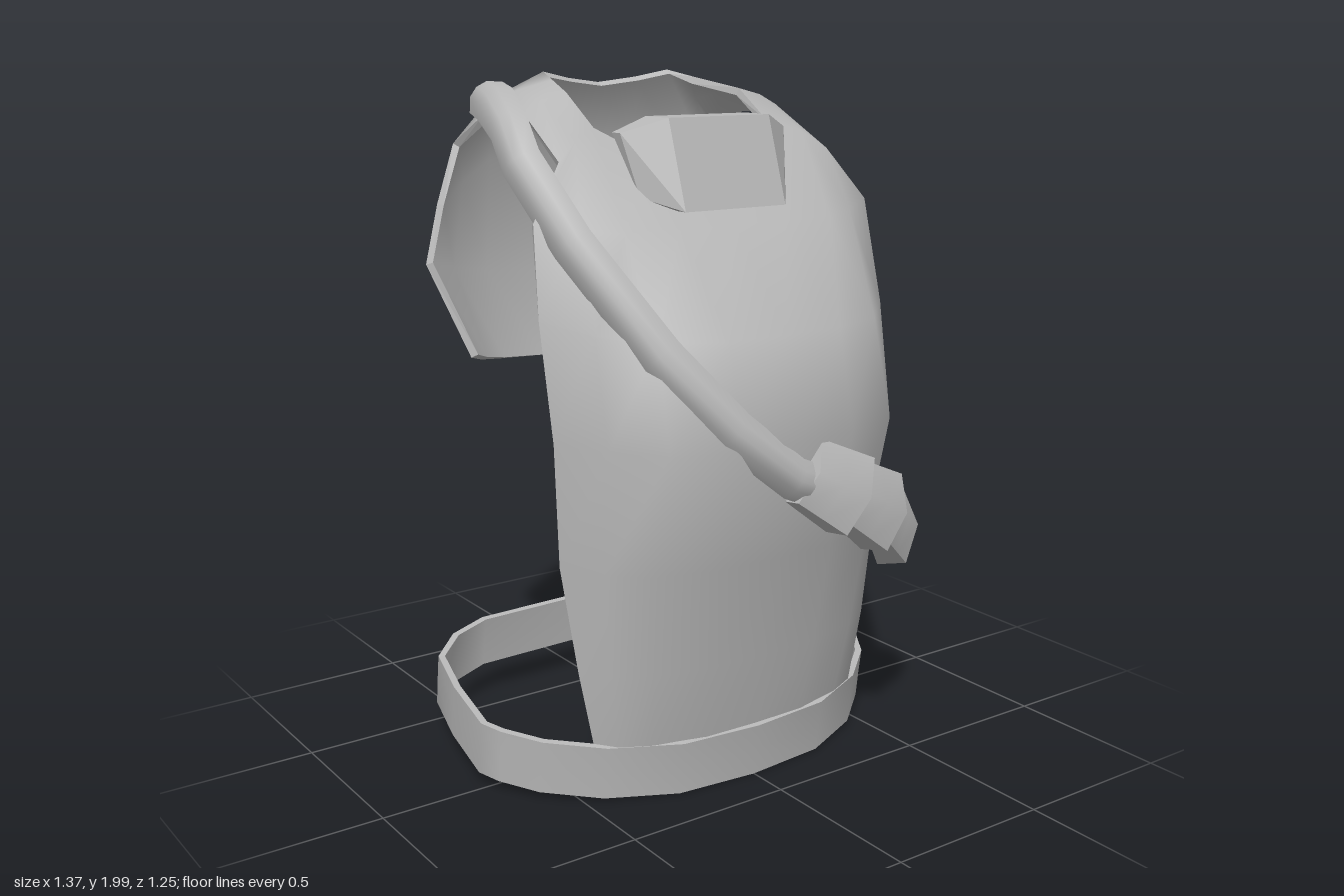
import * as THREE from 'three';
import { mergeGeometries } from 'three/addons/utils/BufferGeometryUtils.js';
import { ConvexGeometry } from 'three/addons/geometries/ConvexGeometry.js';

const V = (x, y, z) => new THREE.Vector3(x, y, z);

// Turns a grid of points (rows of columns) into a shell of even thickness
function shell(rows, thickness, { closed = false, skip = () => false } = {}) {
  const n = rows[0].length, index = [];
  for (let i = 0; i < rows.length - (closed ? 0 : 1); i++) {
    const k = (i + 1) % rows.length;
    for (let j = 0; j < n - 1; j++) {
      if (skip(i, j)) continue;
      const a = i * n + j, b = a + 1, d = k * n + j, c = d + 1;
      index.push(a, b, c, a, c, d);
    }
  }
  const outer = new THREE.BufferGeometry().setFromPoints(rows.flat());
  outer.setIndex(index);
  outer.computeVertexNormals();
  const out = rows.flat();
  const normals = outer.attributes.normal;
  const inn = out.map((p, i) => p.clone().addScaledVector(V(0, 0, 0).fromBufferAttribute(normals, i), -thickness));
  const inner = new THREE.BufferGeometry().setFromPoints(inn);
  inner.setIndex([...index].reverse());
  inner.computeVertexNormals();

  // Rim: every edge that belongs to one face only
  const edges = new Set(), rimPoints = [];
  for (let i = 0; i < index.length; i += 3)
    for (let e = 0; e < 3; e++) edges.add(index[i + e] + '_' + index[i + (e + 1) % 3]);
  for (const key of edges) {
    const [a, b] = key.split('_').map(Number);
    if (edges.has(b + '_' + a)) continue;
    rimPoints.push(out[b], out[a], inn[a], out[b], inn[a], inn[b]);
  }
  const parts = [outer.toNonIndexed(), inner.toNonIndexed()];
  if (rimPoints.length) {
    const rim = new THREE.BufferGeometry().setFromPoints(rimPoints);
    rim.computeVertexNormals();
    parts.push(rim);
  }
  return mergeGeometries(parts);
}

// Right half of a row, centre first, mirrored to a full row
const mirrorRow = (half) => [
  ...half.slice(1).reverse().map(([x, y, z]) => V(-x, y, z)),
  ...half.map(([x, y, z]) => V(x, y, z)),
];

// Direction pointing away from the torso
const outward = (p) => V(p.x, Math.max(0, p.y - 1.4), p.z + 0.1).normalize();

// Padded strap that follows a path round the torso; points are [x, y, z, width]
function strap(path, bulge) {
  const pts = path.map(([x, y, z]) => V(x, y, z));
  const rows = pts.map((p, i) => {
    const t = pts[Math.min(i + 1, pts.length - 1)].clone().sub(pts[Math.max(i - 1, 0)]).normalize();
    const s = t.clone().cross(outward(p)).normalize();
    const n = s.clone().cross(t);
    return [[-0.5, 0], [-0.25, 0.8], [0, 1], [0.25, 0.8], [0.5, 0]].map(([u, h]) =>
      p.clone().addScaledVector(s, u * path[i][3]).addScaledVector(n, h * bulge));
  });
  return shell(rows, 0.015);
}

export function createModel() {
  const model = new THREE.Group();
  const grey = new THREE.MeshStandardMaterial({ color: 0xb8b8b8, side: THREE.DoubleSide });
  grey.name = 'plain grey';
  const add = (name, geometry) => {
    const mesh = new THREE.Mesh(geometry, grey);
    mesh.name = name;
    model.add(mesh);
    return mesh;
  };

  // Vest: up the chest, over the shoulders, down the back; the neck is left open
  const chest = [
    [[0, .17, .38], [.17, .17, .375], [.33, .17, .34], [.42, .17, .30], [.47, .18, .25]],
    [[0, .4, .425], [.18, .4, .42], [.35, .4, .38], [.45, .4, .32], [.51, .4, .24]],
    [[0, .7, .48], [.19, .7, .47], [.37, .7, .42], [.48, .7, .33], [.54, .7, .20]],
    [[0, 1.05, .565], [.19, 1.05, .555], [.38, 1.05, .495], [.48, 1.05, .36], [.56, 1.05, .215]],
    [[0, 1.33, .50], [.19, 1.33, .49], [.37, 1.33, .43], [.49, 1.35, .32], [.58, 1.38, .185]],
    [[0, 1.6, .26], [.18, 1.6, .26], [.35, 1.6, .25], [.46, 1.61, .21], [.57, 1.63, .15]],
    [[0, 1.78, .1], [.17, 1.78, .1], [.30, 1.86, .02], [.39, 1.83, .07], [.46, 1.78, .1]],
  ];
  const shoulders = [
    [[.3, 1.95, -.12], [.38, 1.93, -.12], [.44, 1.9, -.12]],
    [[.25, 1.98, -.28], [.36, 1.95, -.30], [.46, 1.89, -.30]],
  ].map((r) => [r[0], r[0], ...r]);
  const back = [
    [[0, 1.965, -.43], [.12, 1.98, -.405], [.22, 2.0, -.38], [.37, 1.92, -.44], [.49, 1.8, -.44]],
    [[0, 1.78, -.53], [.18, 1.78, -.53], [.35, 1.75, -.51], [.46, 1.69, -.48], [.55, 1.63, -.435]],
    [[0, 1.4, -.565], [.18, 1.4, -.565], [.35, 1.41, -.55], [.49, 1.43, -.50], [.6, 1.46, -.42]],
    [[0, 1.13, -.51], [.18, 1.13, -.51], [.33, 1.14, -.49], [.43, 1.16, -.42], [.51, 1.19, -.33]],
  ];
  add('vest', shell([...chest, ...shoulders, ...back].map(mirrorRow), 0.022, {
    skip: (i, j) => i >= 6 && i <= 8 && j >= 2 && j <= 5,
  }));

  // Belt: a closed band rising towards the back
  const half = [[0, .385], [.25, .365], [.45, .28], [.59, .16], [.66, .05], [.685, -.02],
    [.65, -.25], [.6, -.45], [.5, -.545], [.37, -.595], [0, -.605]];
  const loop = [...half, ...half.slice(1, -1).reverse().map(([x, z]) => [-x, z])];
  add('belt', shell(loop.map(([x, z]) => {
    const y = 0.01 + (0.385 - z) * 0.088 + Math.max(0, -0.43 - z) * 0.13;
    return [V(x, y + 0.16, z + 0.012), V(x, y + 0.08, z), V(x, y, z - 0.01)];
  }), 0.02, { closed: true }));

  // Shoulder strap: from the right shoulder across the chest, round the left side to the back
  add('shoulderStrap', strap([
    [-.40, 1.93, -.40, .13], [-.48, 1.92, -.20, .13], [-.53, 1.87, -.04, .12], [-.55, 1.78, .06, .12],
    [-.50, 1.58, .23, .12], [-.36, 1.30, .43, .12], [-.20, 1.10, .53, .12], [-.02, .95, .56, .12],
    [.12, .89, .545, .12], [.29, .80, .49, .12], [.45, .70, .40, .12], [.55, .64, .28, .12],
  ], 0.04));
  add('sideStrap', strap([
    [.50, .67, .35, .11], [.555, .62, .22, .11], [.56, .595, .1, .11], [.53, .69, -.2, .1],
    [.48, .92, -.31, .07], [.42, 1.18, -.46, .06],
  ], 0.02));

  // Three pillow-shaped pouches on the strap
  [[.11, .915, .555, .05], [.28, .825, .525, .35], [.44, .725, .435, .75]].forEach(([x, y, z, turn], i) => {
    const g = new THREE.BoxGeometry(0.18, 0.21, 0.09, 2, 2, 2);
    const p = g.attributes.position;
    for (let k = 0; k < p.count; k++) {
      const u = p.getX(k) / 0.09, w = p.getY(k) / 0.105, d = p.getZ(k);
      if (d > 0.01) p.setZ(k, d + 0.02 * (1 - Math.abs(w)) - 0.02 * Math.abs(w) + 0.015 * u);
      p.setY(k, p.getY(k) * (1 + 0.1 * u));
    }
    g.computeVertexNormals();
    const pouch = add('pouch' + (i + 1), g);
    pouch.position.set(x, y, z);
    pouch.rotation.set(-0.12, turn, -0.55, 'YXZ');
  });

  // Faceted box below the collar
  const corners = [];
  for (const s of [-1, 1]) {
    corners.push(V(s * .17, 1.89, .19), V(s * .17, 1.645, .27), V(s * .17, 1.89, .08),
      V(s * .28, 1.85, .08), V(s * .28, 1.85, .12), V(s * .25, 1.68, .17), V(s * .17, 1.645, .23));
  }
  add('collarBox', new ConvexGeometry(corners));

  return model;
}
